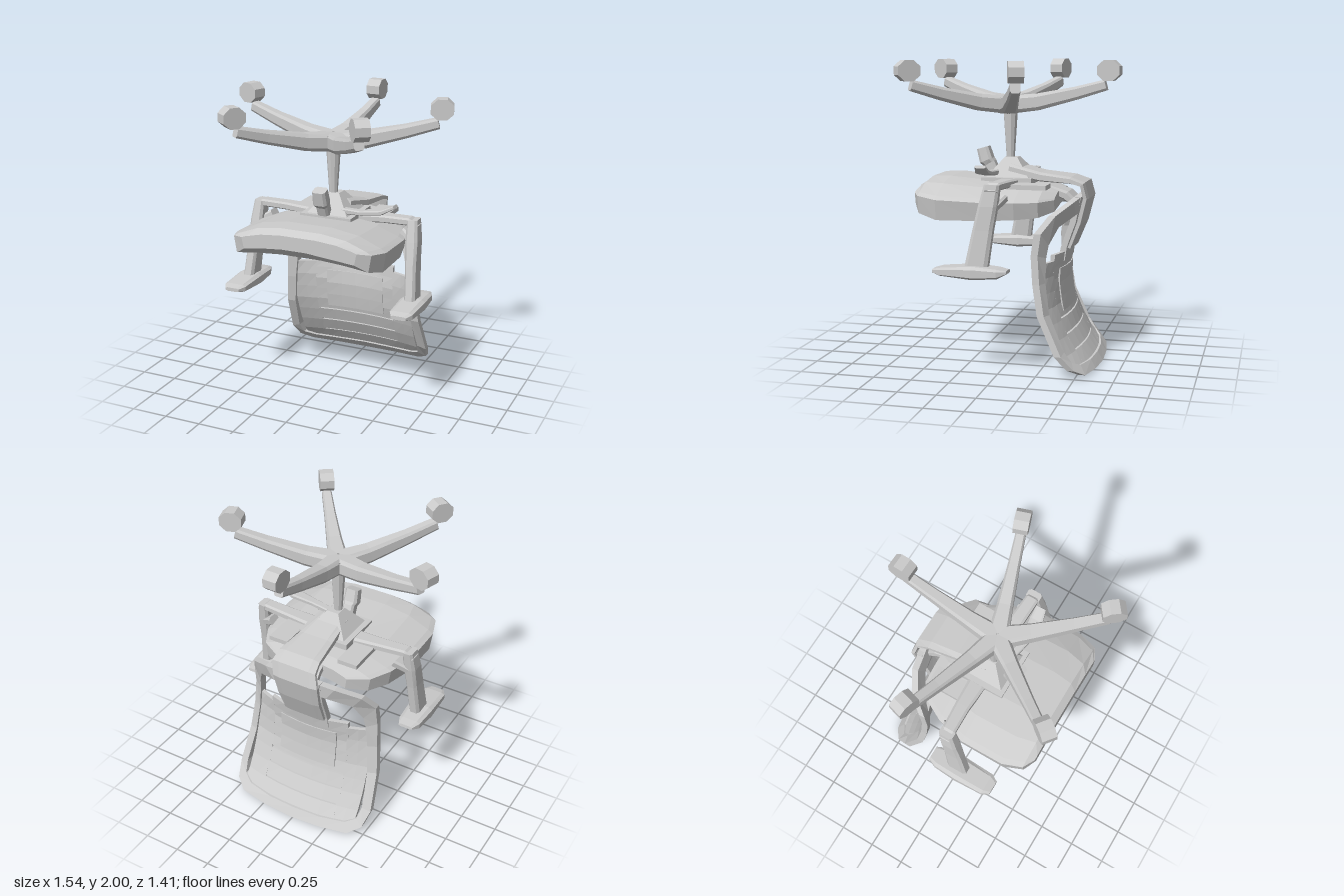
import * as THREE from 'three';

const material = new THREE.MeshStandardMaterial({ color: 0xcccccc, flatShading: true });
const V = (x, y, z) => new THREE.Vector3(x, y, z);

function add(parent, name, geometry) {
  const mesh = new THREE.Mesh(geometry, material);
  mesh.name = name;
  parent.add(mesh);
  return mesh;
}

// Skin between equal-sized rings of points; capped unless the rings form a loop.
function loft(rings, loop = false) {
  const n = rings[0].length, pos = [];
  const tri = (a, b, c) => pos.push(a, b, c);
  const last = loop ? rings.length : rings.length - 1;
  for (let i = 0; i < last; i++) {
    const a = rings[i], b = rings[(i + 1) % rings.length];
    for (let j = 0; j < n; j++) {
      const k = (j + 1) % n;
      tri(a[j], a[k], b[k]);
      tri(a[j], b[k], b[j]);
    }
  }
  if (!loop) {
    const a = rings[0], b = rings[rings.length - 1];
    for (let j = 1; j < n - 1; j++) {
      tri(a[0], a[j + 1], a[j]);
      tri(b[0], b[j], b[j + 1]);
    }
  }
  // Turn the faces outward whichever way the rings run.
  let volume = 0;
  for (let i = 0; i < pos.length; i += 3) {
    volume += pos[i].dot(V(0, 0, 0).crossVectors(pos[i + 1], pos[i + 2]));
  }
  if (volume < 0) pos.reverse();
  const g = new THREE.BufferGeometry().setFromPoints(pos);
  g.computeVertexNormals();
  return g;
}

// Tapered bar with a chamfered section. Path rows are [x, y, z, width, height].
function beam(path, side) {
  const pts = path.map(p => V(p[0], p[1], p[2]));
  const corners = [[1, .6], [.7, 1], [-.7, 1], [-1, .6], [-1, -.6], [-.7, -1], [.7, -1], [1, -.6]];
  return loft(path.map((p, i) => {
    const along = pts[Math.min(i + 1, pts.length - 1)].clone().sub(pts[Math.max(i - 1, 0)]);
    const up = V(0, 0, 0).crossVectors(along, side).normalize();
    return corners.map(([s, u]) => pts[i].clone()
      .addScaledVector(side, s * p[3] / 2).addScaledVector(up, u * p[4] / 2));
  }));
}

// Backrest surface: rows are [y, z at the middle, z at the sides].
const backCurve = [[0, -.58, -.54], [.1, -.51, -.44], [.2, -.44, -.38], [.4, -.365, -.29],
  [.6, -.345, -.25], [.8, -.38, -.23], [.95, -.44, -.25], [1.14, -.47, -.35]];
function backZ(x, y) {
  let i = 0;
  while (i < backCurve.length - 2 && y > backCurve[i + 1][0]) i++;
  const [a, b] = [backCurve[i], backCurve[i + 1]];
  const t = (y - a[0]) / (b[0] - a[0]);
  const bow = Math.min(1.2, ((x - .015) / .48) ** 2);
  return THREE.MathUtils.lerp(THREE.MathUtils.lerp(a[1], b[1], t), THREE.MathUtils.lerp(a[2], b[2], t), bow);
}
function backSlab(x0, x1, y0, y1, thick) {
  const g = new THREE.BoxGeometry(x1 - x0, y1 - y0, thick,
    Math.ceil((x1 - x0) / .12), Math.ceil((y1 - y0) / .1), 1);
  g.translate((x0 + x1) / 2, (y0 + y1) / 2, 0);
  const p = g.attributes.position;
  for (let i = 0; i < p.count; i++) p.setZ(i, p.getZ(i) + backZ(p.getX(i), p.getY(i)));
  g.computeVertexNormals();
  return g;
}

function makeBase() {
  const base = new THREE.Group();
  base.name = 'wheelBase';
  const cx = .02, cz = .05;
  const hub = add(base, 'hub', new THREE.CylinderGeometry(.1, .06, .1, 10));
  hub.position.set(cx, 1.705, cz);
  const column = add(base, 'column', new THREE.CylinderGeometry(.05, .026, .36, 10));
  column.position.set(.01, 1.5, .035);
  // Five spokes, each ending in a caster
  for (const [x, z] of [[.68, -.165], [-.69, -.16], [.04, -.63], [-.41, .615], [.44, .605]]) {
    const dx = x - cx, dz = z - cz, r = Math.hypot(dx, dz);
    const side = V(-dz / r, 0, dx / r);
    const at = (f, y, w, h) => [cx + dx * f, y, cz + dz * f, w, h];
    add(base, 'spoke', beam([at(.02, 1.705, .13, .12), at(.3, 1.725, .1, .11),
      at(.68, 1.785, .075, .085), at(.97, 1.84, .065, .07)], side));
    const wheel = new THREE.CylinderGeometry(.08, .08, .095, 8);
    wheel.rotateY(Math.PI / 8).rotateX(Math.PI / 2).scale(1, .9, 1);
    const caster = add(base, 'caster', wheel);
    caster.position.set(x, 1.933, z);
    caster.rotation.y = Math.atan2(-dz, dx);
  }
  return base;
}

function makeSeat() {
  // Rows are [z, half width, underside y, sitting side y]
  const rows = [[.575, .40, 1.2, 1.11], [.53, .48, 1.235, 1.06], [.4, .525, 1.24, 1.025],
    [.1, .525, 1.215, 1.03], [-.1, .475, 1.2, 1.035], [-.24, .4, 1.185, 1.045], [-.32, .27, 1.16, 1.07]];
  const f = [-1, -.93, -.65, -.3, .3, .65, .93, 1];
  return loft(rows.map(([z, w, top, low]) => [
    ...f.map(k => V(.01 + k * w, top - .11 * Math.abs(k) ** 3 * (top - low) / .2, z)),
    ...f.slice().reverse().map(k => V(.01 + k * w * .96, low - .035 * k * k, z)),
  ]));
}

function makeBackrest() {
  const back = new THREE.Group();
  back.name = 'backrest';
  // Rim: half outline as [outer x, outer y, inner x, inner y], mirrored
  const half = [[0, 0, 0, .06], [.22, .005, .2, .06], [.42, .015, .38, .07], [.5, .06, .45, .1],
    [.525, .15, .465, .17], [.505, .4, .445, .4], [.485, .6, .425, .6], [.475, .78, .41, .76],
    [.47, .92, .4, .84], [.41, 1.03, .35, .95], [.26, 1.1, .2, 1.01], [0, 1.14, 0, 1.04]];
  const mirrored = half.slice(1, -1).reverse().map(([a, b, c, d]) => [-a, b, -c, d]);
  const rings = [...half, ...mirrored].map(([xo, yo, xi, yi]) => {
    const p = (x, y, t) => V(x + .015, y, backZ(x + .015, y) + t);
    return [p(xo, yo, .02), p(xi, yi, .035), p(xi, yi, -.03), p(xo, yo, -.025)];
  });
  add(back, 'backRim', loft(rings, true));
  // Panel: solid sides with slats between narrow slots
  add(back, 'panelSide', backSlab(-.425, -.27, .04, .72, .028));
  add(back, 'panelSide', backSlab(.3, .455, .04, .72, .028));
  for (const [y0, y1] of [[.04, .14], [.148, .24], [.25, .34], [.35, .76]]) {
    add(back, 'backSlat', backSlab(-.28, .31, y0, y1, .028));
  }
  add(back, 'lumbarPad', backSlab(-.2, .23, .38, .66, .042));
  add(back, 'backNeck', backSlab(-.15, .17, .7, 1.12, .04));
  return back;
}

function makeArm(s) {
  const arm = new THREE.Group();
  arm.name = s > 0 ? 'leftArm' : 'rightArm';
  const x = v => .015 + s * v;
  add(arm, 'armBar', beam([[x(.12), 1.2, 0, .13, .06], [x(.35), 1.215, 0, .1, .05],
    [x(.53), 1.22, .01, .09, .05], [x(.58), 1.18, .015, .09, .06]], V(0, 0, 1)));
  add(arm, 'armPost', beam([[x(.555), 1.235, .01, .1, .07], [x(.565), 1.1, .035, .12, .085],
    [x(.575), .95, .065, .13, .075], [x(.592), .71, .105, .15, .075]], V(0, 0, 1)));
  add(arm, 'armBrace', beam([[x(.47), 1.14, -.02, .09, .06], [x(.56), 1.09, .02, .09, .05]], V(0, 0, 1)));
  add(arm, 'armPad', beam([[x(.6), .69, .38, .1, .025], [x(.6), .69, .33, .155, .05],
    [x(.6), .69, .12, .17, .085], [x(.6), .69, -.04, .15, .06], [x(.6), .7, -.1, .1, .02]], V(1, 0, 0)));
  return arm;
}

function makeMechanism() {
  const mech = new THREE.Group();
  mech.name = 'mechanism';
  const X = V(1, 0, 0);
  // Housing, stepped up toward the column
  const block = new THREE.CylinderGeometry(.06, .24, .16, 4);
  block.rotateY(Math.PI / 4);
  add(mech, 'housing', block).position.set(.02, 1.28, .02);
  add(mech, 'mountPlate', new THREE.BoxGeometry(.36, .04, .34)).position.set(.02, 1.215, .02);
  for (const s of [-1, 1]) {
    add(mech, 'seatRib', new THREE.BoxGeometry(.14, .03, .26)).position.set(.02 + s * .26, 1.195, -.15);
  }
  // Spine, bending from the housing down to the backrest
  add(mech, 'spine', beam([[.03, 1.28, .02, .2, .08], [.04, 1.24, -.2, .25, .06], [.04, 1.225, -.4, .3, .045],
    [.03, 1.2, -.48, .32, .04], [.01, 1.11, -.5, .33, .04], [.01, .95, -.46, .31, .04],
    [.01, .78, -.395, .3, .03]], X));
  add(mech, 'spineBrace', beam([[.03, 1.16, -.25, .22, .05], [.02, 1.12, -.36, .22, .06],
    [.01, 1.04, -.45, .22, .05]], X));
  // Tension knob and height lever
  add(mech, 'knob', beam([[0, 1.24, .15, .08, .08], [0, 1.31, .18, .08, .08],
    [0, 1.33, .2, .1, .09], [0, 1.415, .225, .09, .08]], X));
  add(mech, 'lever', beam([[.08, 1.26, .1, .05, .04], [.25, 1.27, .13, .06, .03],
    [.4, 1.295, .125, .09, .03], [.48, 1.335, .115, .07, .02]], V(0, 0, 1)));
  return mech;
}

export function createModel() {
  const chair = new THREE.Group();
  chair.name = 'upturnedOfficeChair';
  chair.add(makeBase(), makeMechanism(), makeBackrest(), makeArm(1), makeArm(-1));
  add(chair, 'seat', makeSeat());
  return chair;
}
